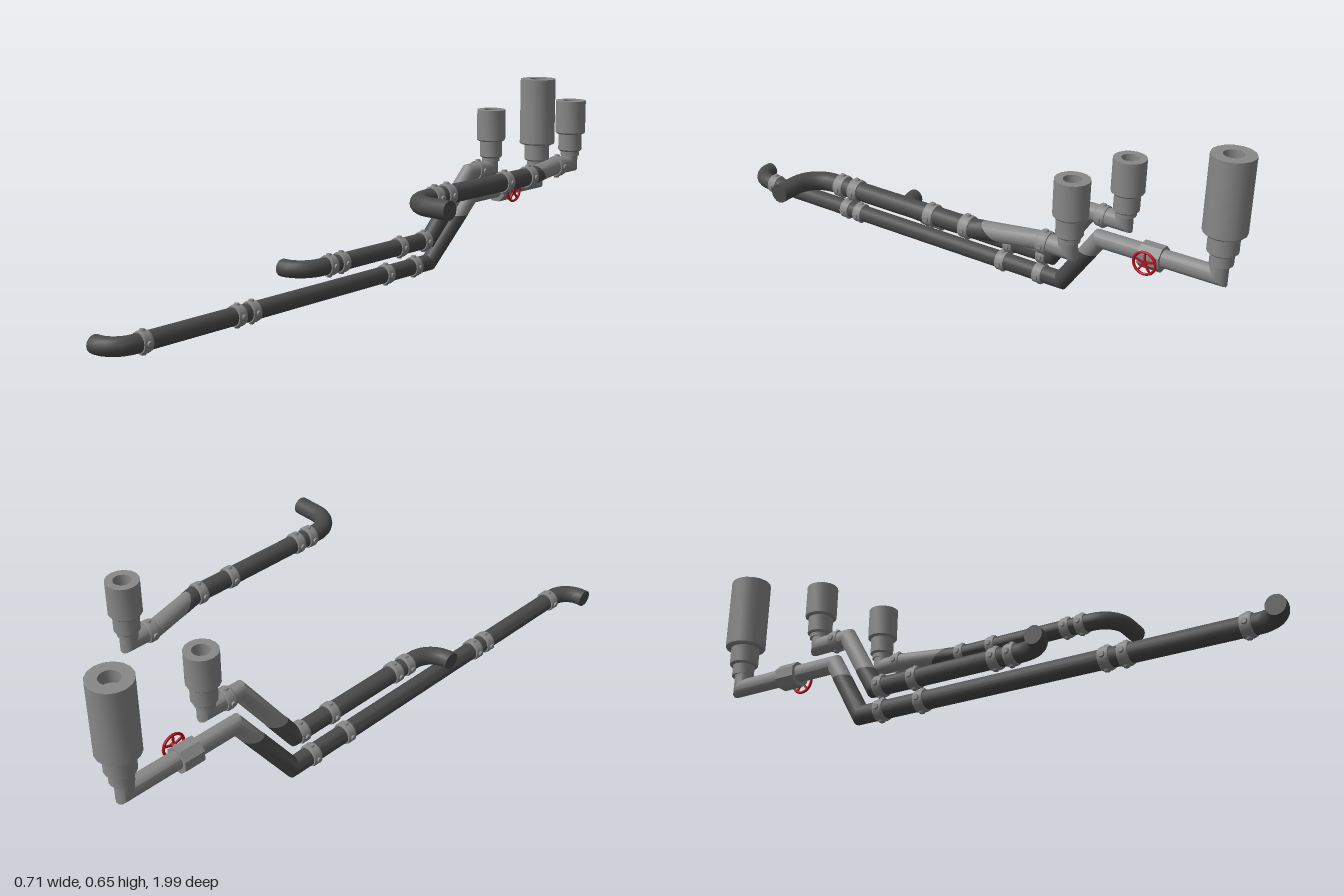
import * as THREE from 'three';
import { toCreasedNormals } from 'three/addons/utils/BufferGeometryUtils.js';

const mat = (name, color) => Object.assign(new THREE.MeshStandardMaterial({ color }), { name });
const V = (x, y, z) => new THREE.Vector3(x, y, z);

// Pipe swept along points with mitred joints; end cut planes may be tilted.
function pipeGeometry(points, radius, startCut, endCut, sides = 16) {
  const pos = [], index = [], last = points.length - 1;
  const dirs = points.slice(1).map((p, i) => p.clone().sub(points[i]).normalize());
  const ref = Math.abs(dirs[0].y) > 0.9 ? V(1, 0, 0) : V(0, 1, 0);
  const u = V(0, 0, 0).crossVectors(ref, dirs[0]).normalize();
  const v = V(0, 0, 0).crossVectors(dirs[0], u);
  points.forEach((p, i) => {
    const din = dirs[Math.max(i - 1, 0)], dout = dirs[Math.min(i, last - 1)];
    let n = din.clone().add(dout).normalize();
    if (i === 0 && startCut) n = startCut;
    if (i === last && endCut) n = endCut;
    for (let j = 0; j < sides; j++) {
      const a = (j / sides) * Math.PI * 2;
      const o = u.clone().multiplyScalar(radius * Math.cos(a)).addScaledVector(v, radius * Math.sin(a));
      o.addScaledVector(din, -o.dot(n) / din.dot(n)).add(p);
      pos.push(o.x, o.y, o.z);
    }
    const q = new THREE.Quaternion().setFromUnitVectors(din, dout);
    u.applyQuaternion(q);
    v.applyQuaternion(q);
  });
  const c0 = pos.length / 3, c1 = c0 + 1;
  [points[0], points[last]].forEach((p) => pos.push(p.x, p.y, p.z));
  for (let j = 0; j < sides; j++) {
    const k = (j + 1) % sides;
    for (let i = 0; i < last; i++) {
      const a = i * sides + j, b = i * sides + k;
      index.push(a, b, a + sides, b, b + sides, a + sides);
    }
    index.push(c0, k, j, c1, last * sides + j, last * sides + k);
  }
  const g = new THREE.BufferGeometry();
  g.setAttribute('position', new THREE.Float32BufferAttribute(pos, 3));
  g.setIndex(index);
  return toCreasedNormals(g, 0.6);
}

// Rounded quarter bend from a sideways open end into a run towards -z.
function bend(endX, x, y, z, r) {
  const s = Math.sign(endX - x), pts = [V(endX, y, z)];
  for (let i = 0; i <= 8; i++) {
    const a = (i / 8) * Math.PI / 2;
    pts.push(V(x + s * r * (1 - Math.sin(a)), y, z - r * (1 - Math.cos(a))));
  }
  return pts;
}

export function createModel() {
  const root = new THREE.Group();
  root.name = 'pipework';
  const dark = mat('dark pipe', 0x4a4a4a);
  const light = mat('light metal', 0x888888);
  const red = mat('red wheel', 0xb5121f);
  const add = (parent, name, geometry, material) => {
    const m = new THREE.Mesh(geometry, material);
    m.name = name;
    parent.add(m);
    return m;
  };

  // Clamp ring with four bolt heads around a pipe running along z
  const collar = (parent, x, y, z) => {
    const g = new THREE.Group();
    g.name = 'collar';
    g.position.set(x, y, z);
    const profile = [[0.029, -0.016], [0.033, -0.016], [0.035, -0.01], [0.035, 0.01], [0.033, 0.016], [0.029, 0.016]];
    const ring = new THREE.LatheGeometry(profile.map(([r, h]) => new THREE.Vector2(r, h)), 16);
    add(g, 'collarRing', toCreasedNormals(ring, 0.5), light).rotation.x = Math.PI / 2;
    for (let i = 0; i < 4; i++) {
      const a = (i * Math.PI) / 2;
      const bolt = add(g, 'collarBolt', new THREE.CylinderGeometry(0.008, 0.011, 0.008, 8), light);
      bolt.position.set(-Math.sin(a) * 0.035, Math.cos(a) * 0.035, 0);
      bolt.rotation.z = a;
    }
    parent.add(g);
  };

  // Stepped socket with a recessed mouth
  const socket = (parent, x, z, y0, y1, y2, top, r1, r2, r3, hole) => {
    const b = 0.005;
    const profile = [[0, y0], [r1, y0], [r1, y1], [r2 - b, y1], [r2, y1 + b], [r2, y2], [r3 - b, y2],
      [r3, y2 + b], [r3, top], [hole, top], [hole, top - 0.04], [0, top - 0.04]];
    const g = new THREE.LatheGeometry(profile.map(([r, h]) => new THREE.Vector2(r, h)), 16);
    add(parent, 'socket', toCreasedNormals(g, 0.5), light).position.set(x, 0, z);
  };

  const level = V(0, 1, 0);
  const lines = [
    { // long low line
      name: 'longPipe', r: 0.029, end: bend(-0.357, -0.273, 0.039, 0.962, 0.075),
      knee: V(-0.273, 0.039, -0.38), split: V(-0.23, 0.2, -0.494), cut: level,
      upper: [V(-0.213, 0.265, -0.54), V(-0.213, 0.265, -0.93), V(-0.213, 0.32, -0.93)],
      collars: [0.86, 0.51, 0.452, -0.155, -0.3], extra: null,
      socket: [-0.211, -0.935, 0.308, 0.345, 0.408, 0.653, 0.036, 0.047, 0.066, 0.031],
    },
    { // short low line
      name: 'shortPipe', r: 0.029, end: bend(-0.34, -0.25, 0.13, 0.258, 0.085),
      knee: V(-0.25, 0.13, -0.35), split: V(-0.232, 0.205, -0.402), cut: level,
      upper: [V(-0.195, 0.357, -0.507), V(-0.193, 0.357, -0.625), V(-0.193, 0.39, -0.625)],
      collars: [0.138, 0.083, -0.2, -0.325], extra: -0.555,
      socket: [-0.193, -0.63, 0.383, 0.396, 0.456, 0.568, 0.032, 0.04, 0.051, 0.027],
    },
    { // high line on the other side
      name: 'highPipe', r: 0.029, end: bend(0.357, 0.197, 0.411, 0.258, 0.085),
      knee: V(0.197, 0.411, -0.345), split: V(0.182, 0.411, -0.4), cut: V(0, 0.7, -0.7).normalize(),
      upper: [V(0.148, 0.411, -0.53), V(0.148, 0.411, -0.627), V(0.148, 0.45, -0.627)],
      collars: [0.138, 0.083, -0.2, -0.325], extra: -0.555,
      socket: [0.148, -0.63, 0.44, 0.455, 0.515, 0.627, 0.032, 0.04, 0.051, 0.027],
    },
  ];
  for (const l of lines) {
    const g = new THREE.Group();
    g.name = l.name;
    root.add(g);
    add(g, 'darkPipe', pipeGeometry([...l.end, l.knee, l.split], l.r, null, l.cut), dark);
    add(g, 'lightPipe', pipeGeometry([l.split, ...l.upper], l.r - 0.0005, l.cut, null), light);
    l.collars.forEach((z) => collar(g, l.knee.x, l.knee.y, z));
    if (l.extra) collar(g, l.upper[1].x, l.upper[1].y, l.extra);
    socket(g, ...l.socket);
  }

  // Valve body, stem and hand wheel
  const valve = new THREE.Group();
  valve.name = 'valve';
  valve.position.set(-0.213, 0.262, -0.72);
  root.add(valve);
  const body = new THREE.CylinderGeometry(0.042, 0.042, 0.07, 8).rotateY(Math.PI / 8).rotateX(Math.PI / 2);
  add(valve, 'valveBody', toCreasedNormals(body, 0.3), light);
  const stem = add(valve, 'valveStem', new THREE.CylinderGeometry(0.007, 0.009, 0.03, 10), light);
  stem.rotation.z = -Math.PI / 2;
  stem.position.x = 0.046;
  const wheel = new THREE.Group();
  wheel.name = 'handWheel';
  wheel.position.x = 0.057;
  valve.add(wheel);
  add(wheel, 'wheelRim', new THREE.TorusGeometry(0.036, 0.0045, 8, 24), red).rotation.y = Math.PI / 2;
  add(wheel, 'wheelHub', new THREE.CylinderGeometry(0.009, 0.009, 0.01, 12), red).rotation.z = Math.PI / 2;
  for (let i = 0; i < 5; i++) {
    const a = (i / 5) * Math.PI * 2;
    const spoke = add(wheel, 'wheelSpoke', new THREE.BoxGeometry(0.005, 0.034, 0.006), red);
    spoke.position.set(0, Math.cos(a) * 0.019, Math.sin(a) * 0.019);
    spoke.rotation.x = a;
  }
  return root;
}
